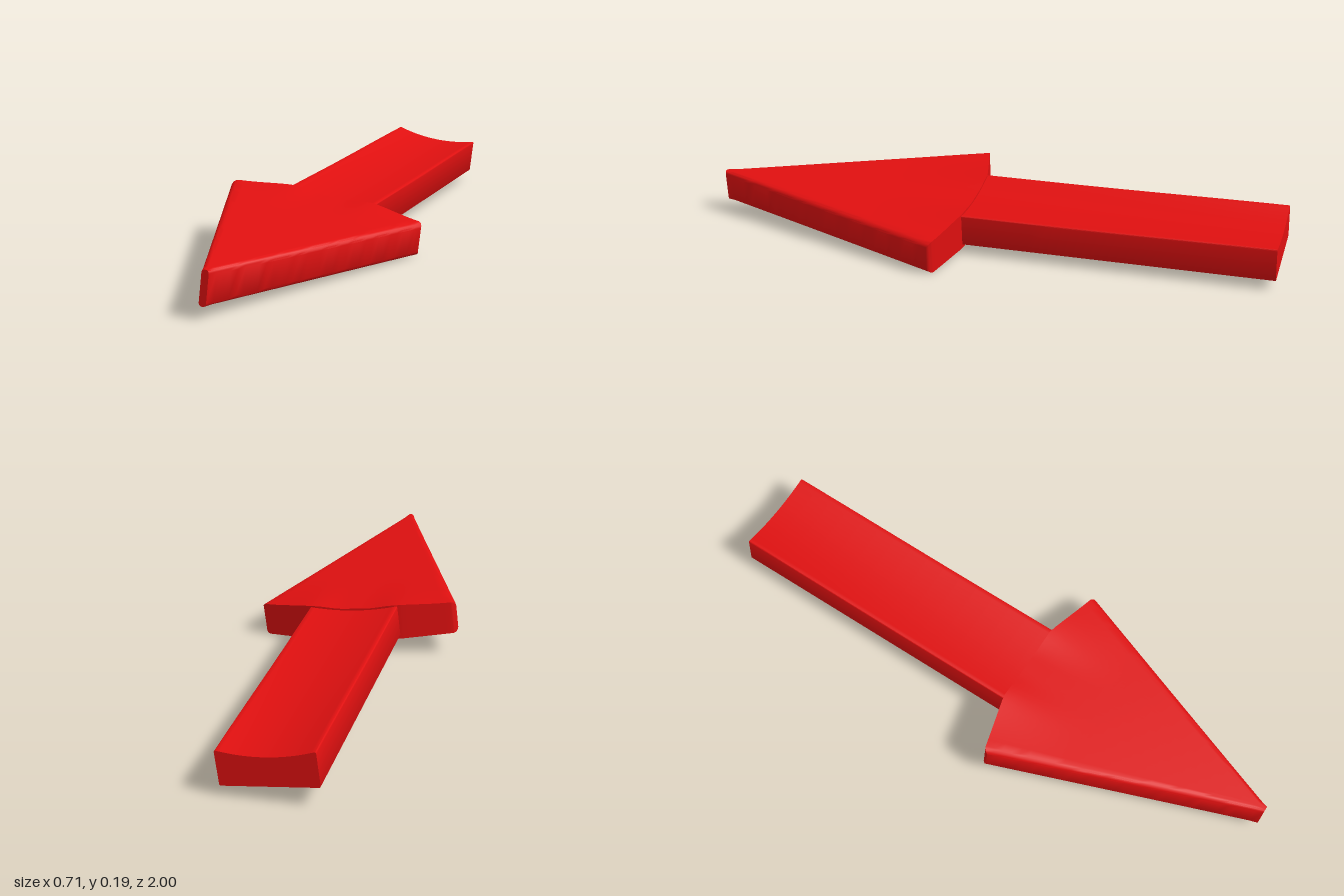
import * as THREE from 'three';
import { toCreasedNormals } from 'three/addons/utils/BufferGeometryUtils.js';

const smooth = THREE.MathUtils.smoothstep;
const COLUMNS = 28, ARC = 4;

// Rounded slab cross-section: fn(x, side) gives the height; runs counterclockwise seen from the front
function section(halfWidth, radius, height, zAt) {
  const xs = [];
  for (let i = 0; i <= ARC; i++) {
    const a = (i / ARC) * Math.PI / 2;
    xs.push([halfWidth - radius + radius * Math.cos(a), radius * (1 - Math.sin(a))]);
  }
  const inner = halfWidth - radius;
  for (let i = 1; i < COLUMNS; i++) xs.push([inner * (1 - 2 * i / COLUMNS), 0]);
  for (let i = ARC; i >= 0; i--) xs.push([-xs[i][0], xs[i][1]]);
  const row = (side) => xs.map(([x, drop]) => [x, height(x, side) - side * drop, zAt(x)]);
  return [...row(1), ...row(-1).reverse()];
}

// Skin a list of sections running from back to front and close both ends
function loft(rings) {
  const n = rings[0].length, index = [];
  for (let i = 0; i < rings.length - 1; i++) {
    for (let j = 0; j < n; j++) {
      const k = (j + 1) % n;
      const a = i * n + j, b = i * n + k, c = b + n, d = a + n;
      index.push(a, b, d, b, c, d);
    }
  }
  const last = (rings.length - 1) * n;
  for (let j = 0; j < n / 2 - 1; j++) {
    const a = j, b = j + 1, c = n - 2 - j, d = n - 1 - j;
    index.push(a, d, b, b, d, c);
    index.push(last + a, last + b, last + d, last + b, last + c, last + d);
  }
  const geometry = new THREE.BufferGeometry();
  geometry.setAttribute('position', new THREE.Float32BufferAttribute(rings.flat(2), 3));
  geometry.setIndex(index);
  return toCreasedNormals(geometry, 0.65);
}

// Long shaft with a shallow hollow along its top
function shaftGeometry() {
  const rings = [];
  for (let i = 0; i <= 16; i++) {
    const t = i / 16, z = -1 + 1.1 * t;
    const edge = 0.072 - 0.006 * smooth(t, 0, 0.7);
    const height = (x, side) => side > 0 ? 0.051 + (edge - 0.051) * (x / 0.157) ** 2 : -0.047;
    rings.push(section(0.157, 0.006, height, () => z));
  }
  return loft(rings);
}

// Pointed head with swept-back barbs, swelling slightly where it meets the shaft
function headGeometry() {
  const W = 0.351, R = 0.016, TIP = 0.012, rings = [];
  for (let i = 0; i <= 32; i++) {
    const v = i / 32, halfWidth = W + (TIP - W) * v;
    const radius = Math.min(R, halfWidth * 0.9);
    const zAt = (x) => {
      const ax = Math.abs(x) / halfWidth * W;
      const into = Math.max(0, ax - (W - R));
      const round = R - Math.sqrt(Math.max(0, R * R - into * into));
      const back = 0.06 + 0.26 * Math.max(0, ax - 0.15) + round * 0.8;
      return back + (1 - back) * v;
    };
    const height = (x, side) => {
      if (side < 0) return -0.058;
      const ax = Math.abs(x);
      const swell = smooth(ax, 0.04, 0.15) * (1 - smooth(ax, 0.15, 0.34));
      const fade = Math.max(0, 1 - (zAt(x) - 0.06) / 0.3) ** 2;
      return 0.058 + 0.011 * swell * fade;
    };
    rings.push(section(halfWidth, radius, height, zAt));
  }
  return loft(rings);
}

export function createModel() {
  const group = new THREE.Group();
  group.name = 'arrow';
  const red = new THREE.MeshStandardMaterial({ color: 0xe01010 });

  // The whole arrow is rolled a little about its length
  const body = new THREE.Group();
  body.name = 'arrowBody';
  body.position.y = 0.099;
  body.rotation.z = -0.119;
  group.add(body);

  for (const [name, geometry] of [['shaft', shaftGeometry()], ['head', headGeometry()]]) {
    const mesh = new THREE.Mesh(geometry, red);
    mesh.name = name;
    body.add(mesh);
  }
  return group;
}
